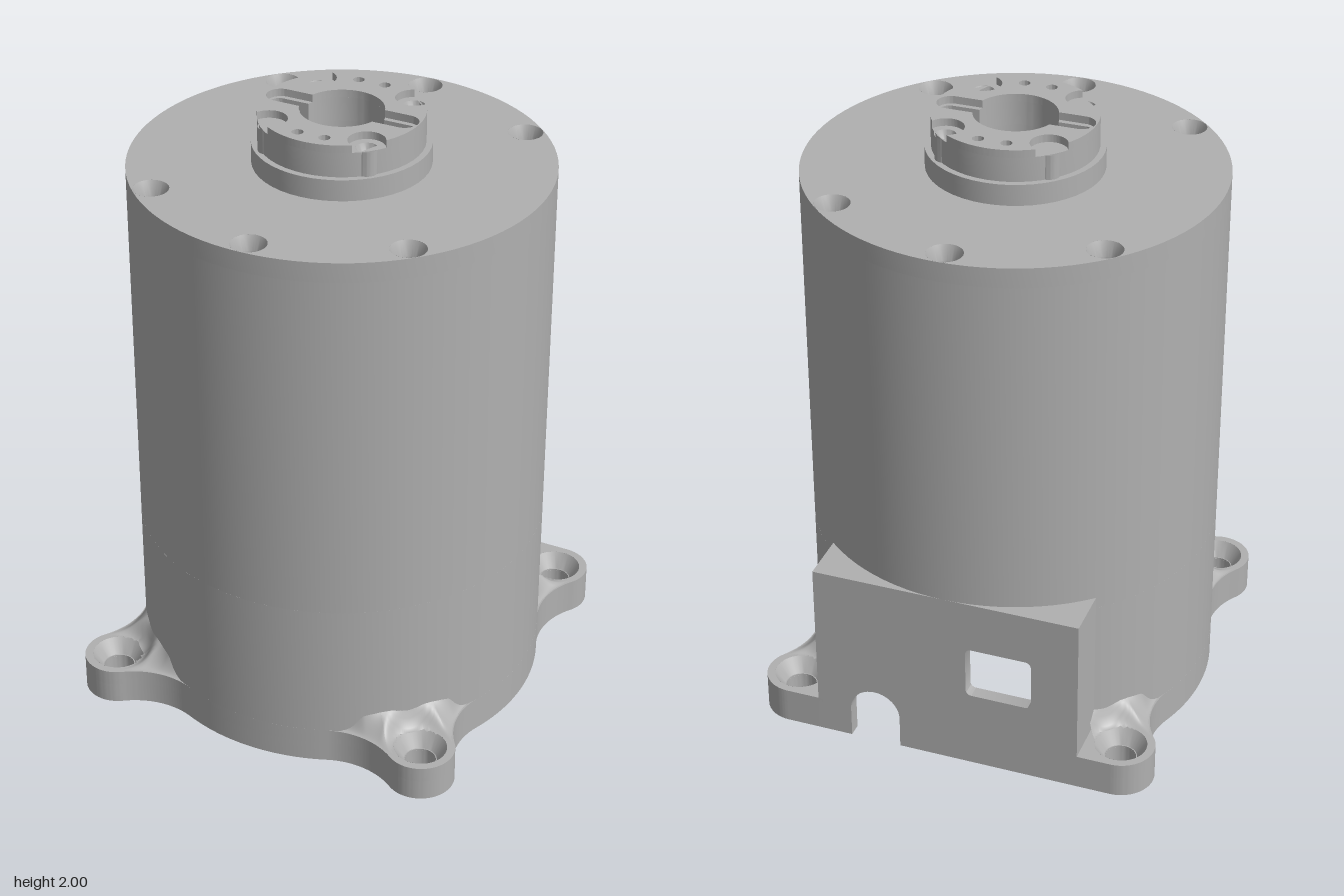
import * as THREE from 'three';
import { toCreasedNormals } from 'three/addons/utils/BufferGeometryUtils.js';

const R = 0.667, RI = 0.6, TOP = 1.825, FL = 0.12, GAP = 0.4;
const LUG = 0.556, LR = 0.111, RHO = 0.25;
const PI = Math.PI;

export function createModel() {
  const group = new THREE.Group();
  const grey = new THREE.MeshStandardMaterial({ color: 0xb0b0b0, side: THREE.DoubleSide });
  grey.name = 'grey';

  const add = (name, geo) => {
    const mesh = new THREE.Mesh(geo, grey);
    mesh.name = name;
    group.add(mesh);
    return mesh;
  };
  // Plan shape (shape y points to the back) raised from y0 to y1
  const slab = (name, shape, y0, y1, seg = 24) => {
    const geo = new THREE.ExtrudeGeometry(shape, { depth: y1 - y0, bevelEnabled: false, curveSegments: seg });
    geo.rotateX(-PI / 2).translate(0, y0, 0);
    return add(name, toCreasedNormals(geo, 0.5));
  };
  const disc = (x, y, r) => new THREE.Path().absarc(x, y, r, 0, 2 * PI, false);
  const discShape = (r, holes = []) => {
    const s = new THREE.Shape().absarc(0, 0, r, 0, 2 * PI, false);
    s.holes.push(...holes);
    return s;
  };
  const box = (name, w, h, d, x, y, z) => add(name, new THREE.BoxGeometry(w, h, d).translate(x, y, z));
  // Open surface of revolution placed at a point
  const dish = (name, pts, x, z) =>
    add(name, toCreasedNormals(new THREE.LatheGeometry(pts.map(p => new THREE.Vector2(...p)), 32), 0.5).translate(x, 0, z));

  // Main housing, open at the back below the connector box
  slab('housing', discShape(R, [disc(0, 0, RI)]), 0.585, 1.76, 48);
  const backIn = Math.acos(GAP / RI), backOut = Math.acos(GAP / R);
  const lower = new THREE.Shape();
  lower.absarc(0, 0, R, PI - backOut, 2 * PI + backOut, false);
  lower.absarc(0, 0, RI, 2 * PI + backIn, PI - backIn, true);
  slab('lowerHousing', lower, 0, 0.585, 48);

  // Top cover with six countersunk screws
  const screws = [0, 1, 3, 4, 5, 7].map(i => {
    const a = PI / 2 + i * PI / 4;
    return [0.609 * Math.cos(a), 0.609 * Math.sin(a), a];
  }).filter(s => true);
  slab('topCover', discShape(R, [disc(0, 0, 0.265), ...screws.map(([x, y]) => disc(x, y, 0.056))]), 1.76, TOP, 48);
  screws.forEach(([x, y, a], i) => {
    dish('coverScrew', [[0.056, TOP], [0.036, TOP - 0.045], [0.036, TOP - 0.06], [0.022, TOP - 0.06], [0.012, TOP - 0.08], [0, TOP - 0.08]], x, -y);
    // Screw posts inside the housing
    const y0 = i === 0 ? 0.63 : 0.35;
    const post = box('screwPost', 0.14, 1.74 - y0, 0.18, 0, 0, 0);
    post.position.set(0.555 * Math.cos(a), (y0 + 1.74) / 2, -0.555 * Math.sin(a));
    post.rotation.y = a;
  });

  // Corner outline: concave sweep, rounded lug, concave sweep
  const D = LUG * Math.SQRT2, r1 = R + RHO, r2 = LR + RHO;
  const along = (r1 * r1 - r2 * r2 + D * D) / (2 * D), off = Math.sqrt(r1 * r1 - along * along);
  const px = (along + off) / Math.SQRT2, py = (along - off) / Math.SQRT2;
  const A = Math.atan2(py, px), L = Math.atan2(py - LUG, px - LUG);
  const turn = (x, y, b) => [x * Math.cos(b) - y * Math.sin(b), x * Math.sin(b) + y * Math.cos(b)];
  const corner = (path, k) => {
    const b = k * PI / 2;
    if (k !== 1) path.absarc(...turn(px, py, b), RHO, b + A + PI, b + L + PI, true);
    path.absarc(...turn(LUG, LUG, b), LR, k === 1 ? b : b + L, k === 0 ? b + PI / 2 : b + PI / 2 - L, false);
    if (k !== 0) path.absarc(...turn(py, px, b), RHO, b - PI / 2 - L, b - PI / 2 - A, true);
    return path;
  };

  // Base flange with four lugs
  const flange = hole => {
    const s = new THREE.Shape();
    for (const k of [1, 2, 3, 0]) {
      if (k !== 1) s.absarc(0, 0, R, k * PI / 2 - A, k * PI / 2 + A, false);
      corner(s, k);
    }
    const yi = Math.sqrt(RI * RI - GAP * GAP);
    s.lineTo(GAP, R);
    s.lineTo(GAP, yi);
    s.absarc(0, 0, RI, backIn, PI - backIn, true);
    s.lineTo(-GAP, R);
    for (const x of [-LUG, LUG]) for (const y of [-LUG, LUG]) s.holes.push(disc(x, y, hole));
    return s;
  };
  slab('baseFlange', flange(0.05), 0, 0.07);
  slab('baseFlangeTop', flange(0.085), 0.07, FL);
  for (const x of [-LUG, LUG]) for (const z of [-LUG, LUG]) dish('lugCountersink', [[0.085, FL], [0.05, 0.065]], x, z);

  // Blended ramps between housing and lugs, kept clear of the lug holes
  const ease = THREE.MathUtils.smoothstep;
  for (let k = 0; k < 4; k++) {
    const rim = corner(new THREE.Path(), k).getPoints(20), N = 14;
    const [cx, cy] = turn(LUG, LUG, k * PI / 2);
    const pos = [], idx = [];
    for (const q of rim) {
      const len = q.length(), r0 = R - 0.006;
      for (let j = 0; j <= N; j++) {
        const t = j / N, s = (r0 + (len - r0) * t) / len, x = q.x * s, y = q.y * s;
        const lift = 0.07 * (1 - t) ** 2 * ease(Math.hypot(x - cx, y - cy), 0.085, 0.13) * ease(Math.abs(len - R), 0, 0.05);
        pos.push(x, FL + 0.001 + lift, -y);
      }
    }
    for (let i = 0; i < rim.length - 1; i++) for (let j = 0; j < N; j++) {
      const a = i * (N + 1) + j, b = a + N + 1;
      const high = Math.max(...[a, a + 1, b, b + 1].map(v => pos[v * 3 + 1]));
      if (high > FL + 0.002) idx.push(a, a + 1, b, b, a + 1, b + 1);
    }
    const geo = new THREE.BufferGeometry();
    geo.setAttribute('position', new THREE.Float32BufferAttribute(pos, 3));
    geo.setIndex(idx);
    geo.computeVertexNormals();
    add('lugRamp', geo);
  }

  // Connector box at the back: plate with cable notch and window
  const W = 0.445, H = 0.625;
  const plate = new THREE.Shape();
  plate.moveTo(-W, 0);
  plate.lineTo(0.16, 0);
  plate.absarc(0.245, 0.11, 0.085, PI, 0, true);
  plate.lineTo(0.33, 0);
  plate.lineTo(W, 0);
  plate.lineTo(W, H);
  plate.lineTo(-W, H);
  const win = new THREE.Path(), c = 0.02;
  win.absarc(-0.07 - c, 0.45 - c, c, 0, PI / 2, false);
  win.absarc(-0.29 + c, 0.45 - c, c, PI / 2, PI, false);
  win.absarc(-0.29 + c, 0.27 + c, c, PI, 1.5 * PI, false);
  win.absarc(-0.07 - c, 0.27 + c, c, 1.5 * PI, 2 * PI, false);
  plate.holes.push(win);
  const plateGeo = new THREE.ExtrudeGeometry(plate, { depth: 0.045, bevelEnabled: false, curveSegments: 10 });
  add('connectorPlate', toCreasedNormals(plateGeo, 0.5).translate(0, 0, -R));
  for (const s of [-1, 1]) box('connectorSide', W - GAP, H, 0.2, s * (W + GAP) / 2, H / 2, -R + 0.1);
  const lid = new THREE.Shape();
  const ra = R - 0.03, la = Math.acos(W / ra);
  lid.moveTo(W, R);
  lid.lineTo(-W, R);
  lid.absarc(0, 0, ra, PI - la, la, true);
  slab('connectorLid', lid, 0.585, H);

  // Output hub with slotted bore, pin holes and screw recesses
  const keyhole = (w, e) => {
    const p = new THREE.Path(), r = 0.132, a = Math.asin(w / r);
    p.absarc(0, 0, r, a, PI - a, false);
    p.absarc(-(e - w), 0, w, PI / 2, 1.5 * PI, false);
    p.absarc(0, 0, r, PI + a, 2 * PI - a, false);
    p.absarc(e - w, 0, w, -PI / 2, PI / 2, false);
    return p;
  };
  const pins = [], hubScrews = [];
  for (const x of [-1, 1]) for (const y of [-1, 1]) {
    pins.push(disc(x * 0.045, y * 0.208, 0.018));
    hubScrews.push([x * 0.166, y * 0.166]);
  }
  const HR = 0.26, step = 1.975;
  slab('hubCollar', discShape(0.28, [keyhole(0.028, 0.245), ...pins]), 1.75, 1.895);
  slab('hub', discShape(HR, [keyhole(0.028, 0.245), ...pins, ...hubScrews.map(([x, y]) => disc(x, y, 0.034))]), 1.895, step);
  const face = new THREE.Shape(), nd = 0.2335, nr = 0.058;
  const da = Math.acos((nd * nd + HR * HR - nr * nr) / (2 * nd * HR));
  const nb = Math.atan2(HR * Math.sin(da), HR * Math.cos(da) - nd);
  for (let k = 0; k < 4; k++) {
    const f = PI / 4 + k * PI / 2;
    face.absarc(0, 0, HR, f - PI / 2 + da, f - da, false);
    face.absarc(nd * Math.cos(f), nd * Math.sin(f), nr, f - nb, f + nb, true);
  }
  face.holes.push(keyhole(0.045, 0.256), ...pins);
  slab('hubFace', face, step, 2);
  for (const [x, y] of hubScrews)
    dish('hubScrew', [[0.034, step], [0.022, step - 0.03], [0.012, step - 0.045], [0, step - 0.045]], x, -y);

  return group;
}
